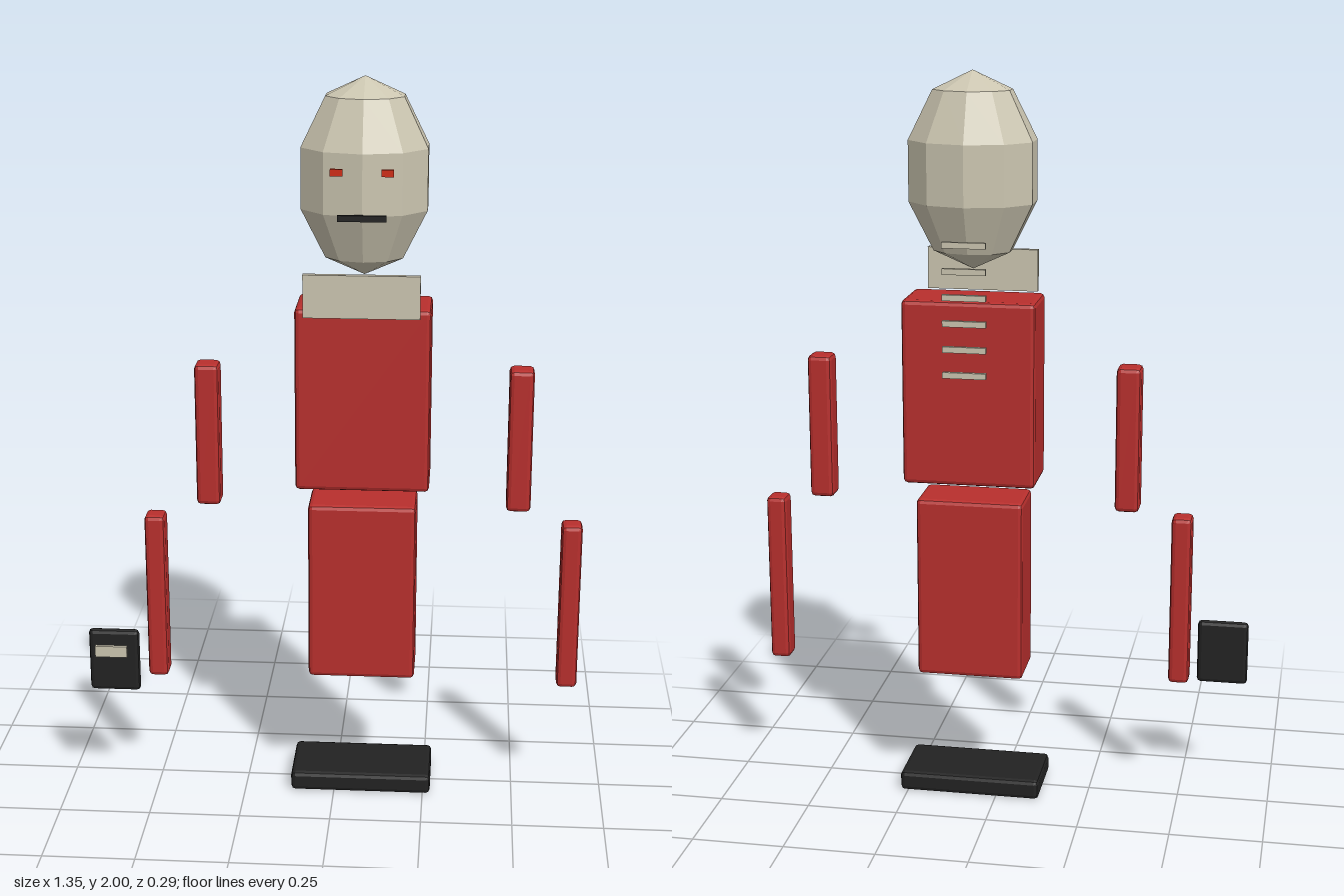
import * as THREE from 'three';
import { RoundedBoxGeometry } from 'three/addons/geometries/RoundedBoxGeometry.js';

export function createModel() {
  const model = new THREE.Group();
  model.name = 'figure';

  const paint = (color) => new THREE.MeshStandardMaterial({ color, flatShading: true });
  const red = paint(0xb82f2d);
  const bone = paint(0xcbc5b0);
  const black = paint(0x222222);
  const glow = paint(0xd02a10);

  // Box given by its centre and size; a bevel above zero softens the edges
  function box(name, material, [x, y, z], [w, h, d], bevel = 0) {
    const geometry = bevel
      ? new RoundedBoxGeometry(w, h, d, 1, bevel)
      : new THREE.BoxGeometry(w, h, d);
    const mesh = new THREE.Mesh(geometry, material);
    mesh.name = name;
    mesh.position.set(x, y, z);
    model.add(mesh);
    return mesh;
  }

  const cx = 0.075; // body midline
  const bevel = 0.012;

  // Body blocks
  box('base', black, [cx, 0.031, -0.007], [0.392, 0.056, 0.202], bevel);
  box('lowerBody', red, [cx, 0.602, -0.006], [0.293, 0.506, 0.16], bevel);
  box('chest', red, [cx, 1.153, -0.007], [0.36, 0.504, 0.172], bevel);
  box('collarPlate', bone, [cx, 1.454, 0.133], [0.304, 0.114, 0.016]);

  // Arms, mirrored about the body midline
  for (const [side, s] of [['left', 1], ['right', -1]]) {
    box(side + 'UpperArm', red, [cx + s * 0.422, 1.032, -0.005], [0.066, 0.398, 0.07], bevel);
    box(side + 'Forearm', red, [cx + s * 0.568, 0.572, 0.036], [0.056, 0.477, 0.066], bevel);
  }

  // Tablet with a small label plate
  box('tablet', black, [-0.608, 0.398, 0.102], [0.14, 0.182, 0.024], bevel * 0.95);
  box('tabletLabel', bone, [-0.612, 0.436, 0.135], [0.088, 0.032, 0.01]);

  // Faceted egg-shaped head
  const headShape = new THREE.SphereGeometry(1, 10, 5);
  headShape.rotateY(Math.PI / 2);
  headShape.scale(0.182, 0.26, 0.139);
  const head = new THREE.Mesh(headShape, bone);
  head.name = 'head';
  head.position.set(cx, 1.74, -0.008);
  model.add(head);

  // Face
  for (const [side, s] of [['left', 1], ['right', -1]]) {
    box(side + 'Eye', glow, [cx + s * 0.065, 1.776, 0.137], [0.032, 0.018, 0.01]);
  }
  box('mouth', black, [cx, 1.659, 0.137], [0.125, 0.016, 0.01]);

  // Spine ribs behind the back
  for (let i = 0; i < 6; i++) {
    box('spineRib' + (i + 1), bone, [cx, 1.563 - i * 0.069, -0.139], [0.116, 0.016, 0.012]);
  }

  return model;
}
